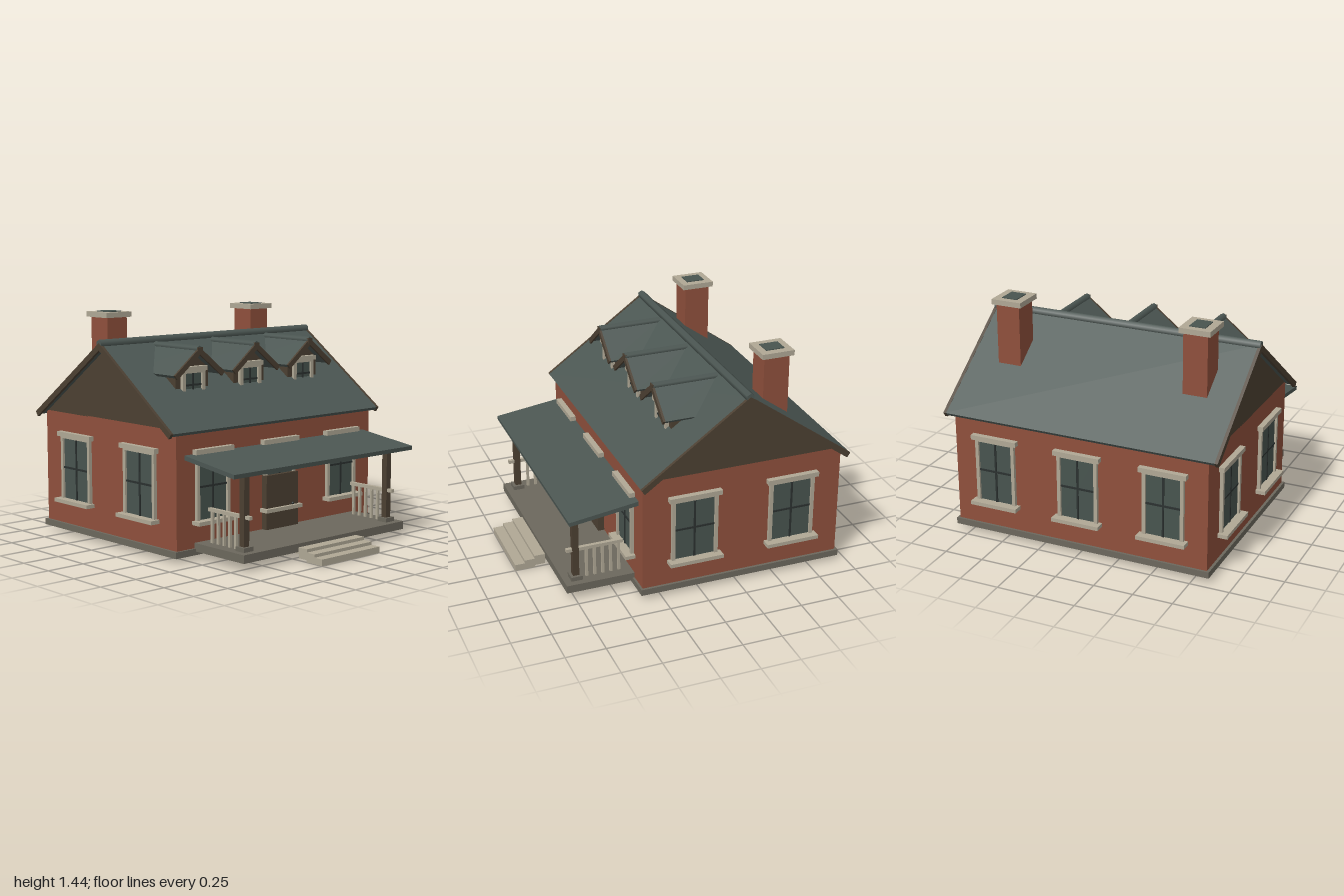
import * as THREE from 'three';

const mat = (name, color) => {
  const m = new THREE.MeshStandardMaterial({ color });
  m.name = name;
  return m;
};

export function createModel() {
  const brick = mat('brick', 0x8f503c);
  const slate = mat('slate', 0x4c5753);
  const timber = mat('dark timber', 0x4c4032);
  const trim = mat('pale trim', 0xb0a895);
  const stone = mat('grey stone', 0x6c685d);
  const glass = mat('window glass', 0x48544f);
  const iron = mat('dark glazing bars', 0x2b3130);

  const house = new THREE.Group();
  house.name = 'house';
  const midZ = -0.285;

  const add = (parent, name, geo, material, x = 0, y = 0, z = 0) => {
    const m = new THREE.Mesh(geo, material);
    m.name = name;
    m.position.set(x, y, z);
    parent.add(m);
    return m;
  };
  // Box given by its minimum and maximum along each axis
  const box = (parent, name, material, x0, x1, y0, y1, z0, z1) =>
    add(parent, name, new THREE.BoxGeometry(x1 - x0, y1 - y0, z1 - z0), material,
      (x0 + x1) / 2, (y0 + y1) / 2, (z0 + z1) / 2);
  // Cross-section extruded along z, centred on z = 0
  const prism = (pts, depth) => {
    const shape = new THREE.Shape(pts.map(([x, y]) => new THREE.Vector2(x, y)));
    return new THREE.ExtrudeGeometry(shape, { depth, bevelEnabled: false }).translate(0, 0, -depth / 2);
  };
  // Pitched slab: half width, ridge height, eave height, thickness, length
  const pitched = (w, ridge, eave, t, depth) => {
    const rise = ridge - eave, len = Math.hypot(w, rise);
    const ex = w - t * rise / len, ey = eave - t * w / len;
    return prism([[-w, eave], [-ex, ey], [0, ridge - t * len / w], [ex, ey], [w, eave], [0, ridge]], depth);
  };

  // Foundation and walls
  box(house, 'foundation', stone, -0.85, 0.85, 0.03, 0.07, -0.95, 0.38);
  box(house, 'brickWalls', brick, -0.833, 0.833, 0.07, 0.795, -0.935, 0.367);

  // Main roof, built along z and turned to run along x
  const roof = new THREE.Group();
  roof.name = 'mainRoof';
  roof.rotation.y = Math.PI / 2;
  roof.position.z = midZ;
  house.add(roof);
  add(roof, 'gableWalls', prism([[-0.65, 0.79], [0.65, 0.79], [0, 1.25]], 1.666), timber);
  add(roof, 'roofSlab', pitched(0.681, 1.268, 0.782, 0.022, 1.775), slate);
  for (const s of [-1, 1])
    add(roof, 'bargeboard', pitched(0.682, 1.27, 0.782, 0.036, 0.02), timber, 0, 0, s * 0.888);
  const ridge = add(roof, 'ridgeCap', new THREE.CylinderGeometry(0.027, 0.027, 1.79, 6), slate, 0, 1.264, 0);
  ridge.rotation.x = Math.PI / 2;

  // Window facing +z with its wall plane at z = 0
  const makeWindow = (w, y0, y1, edge, lip) => {
    const g = new THREE.Group();
    g.name = 'window';
    const h = w / 2, mid = (y0 + y1) / 2, b = 0.006;
    box(g, 'glass', glass, -h + edge, h - edge, y0, y1, 0, 0.008);
    box(g, 'verticalBar', iron, -b, b, y0, y1, 0, 0.014);
    box(g, 'crossBar', iron, -h + edge, h - edge, mid - b, mid + b, 0, 0.014);
    for (const s of [-1, 1])
      box(g, 'jamb', trim, s * (h - edge / 2) - edge / 2, s * (h - edge / 2) + edge / 2, y0, y1, 0, 0.022);
    box(g, 'topFrame', trim, -h, h, y1 - 0.012, y1, 0, 0.022);
    box(g, 'lintel', trim, -h - lip, h + lip, y1, y1 + 0.03, 0, 0.036);
    box(g, 'sill', trim, -h - lip - 0.003, h + lip + 0.003, y0 - 0.024, y0, 0, 0.064);
    return g;
  };
  const placeWindow = (name, w, x, z, turn) => {
    const g = makeWindow(w, 0.238, 0.64, 0.022, 0.02);
    g.name = name;
    g.position.set(x, 0, z);
    g.rotation.y = turn;
    house.add(g);
  };
  for (const x of [-0.556, 0, 0.556]) {
    placeWindow('frontWindow', 0.265, x, 0.367, 0);
    placeWindow('backWindow', 0.265, x, -0.935, Math.PI);
  }
  for (const s of [-1, 1])
    for (const z of [0.035, -0.607])
      placeWindow('sideWindow', 0.3, s * 0.833, z, s * Math.PI / 2);

  // Dormers
  for (const x of [-0.475, 0, 0.475]) {
    const d = new THREE.Group();
    d.name = 'dormer';
    d.position.x = x;
    house.add(d);
    add(d, 'dormerWalls',
      prism([[-0.13, 0.95], [0.13, 0.95], [0.13, 1.115], [0, 1.215], [-0.13, 1.115]], 0.3), timber, 0, 0, -0.055);
    add(d, 'dormerRoof', pitched(0.2, 1.247, 1.088, 0.02, 0.415), slate, 0, 0, -0.0475);
    add(d, 'dormerBargeboard', pitched(0.201, 1.249, 1.089, 0.034, 0.014), timber, 0, 0, 0.167);
    const cap = add(d, 'dormerRidge', new THREE.CylinderGeometry(0.024, 0.024, 0.42, 6), slate, 0, 1.236, -0.042);
    cap.rotation.x = Math.PI / 2;
    box(d, 'dormerRidgeEnd', timber, -0.02, 0.02, 1.215, 1.25, 0.16, 0.175);
    const win = makeWindow(0.18, 0.93, 1.1, 0.024, 0.006);
    win.name = 'dormerWindow';
    win.position.z = 0.095;
    d.add(win);
  }

  // Chimneys
  for (const s of [-1, 1]) {
    const c = new THREE.Group();
    c.name = 'chimney';
    c.position.set(s * 0.615, 0, -0.545);
    house.add(c);
    box(c, 'chimneyStack', brick, -0.077, 0.077, 0.9, 1.408, -0.083, 0.083);
    box(c, 'chimneyCap', trim, -0.099, 0.099, 1.405, 1.438, -0.104, 0.104);
    box(c, 'flue', glass, -0.05, 0.05, 1.435, 1.443, -0.06, 0.06);
  }

  // Porch floor, sloping roof and steps
  box(house, 'porchFloor', stone, -0.695, 0.695, 0.052, 0.103, 0.36, 0.803);
  const porchRoof = prism([[0.362, 0.642], [0.362, 0.614], [0.8, 0.557], [0.803, 0.583]].reverse(), 1.54);
  add(house, 'porchRoof', porchRoof, slate).rotation.y = -Math.PI / 2;
  [[0, 0.04, 1], [0.014, 0.06, 0.936], [0.04, 0.08, 0.872]].forEach(([y0, y1, z]) =>
    box(house, 'step', trim, -0.25, 0.25, y0, y1, z - 0.13, z));

  // Posts and side railings
  for (const s of [-1, 1]) {
    const p = new THREE.Group();
    p.name = 'porchSide';
    p.position.x = s * 0.617;
    house.add(p);
    box(p, 'postBase', stone, -0.038, 0.038, 0.1, 0.13, 0.687, 0.76);
    box(p, 'post', timber, -0.02, 0.02, 0.13, 0.57, 0.704, 0.743);
    box(p, 'handrail', trim, -0.012, 0.012, 0.295, 0.316, 0.417, 0.78);
    for (let i = 0; i < 5; i++) {
      const z = 0.443 + i * 0.052;
      box(p, 'baluster', trim, -0.008, 0.008, 0.1, 0.297, z - 0.008, z + 0.008);
    }
  }

  // Front door
  box(house, 'door', timber, -0.137, 0.137, 0.1, 0.445, 0.367, 0.408);
  add(house, 'doorKnob', new THREE.SphereGeometry(0.009, 12, 8), iron, 0.085, 0.247, 0.414);

  return house;
}
